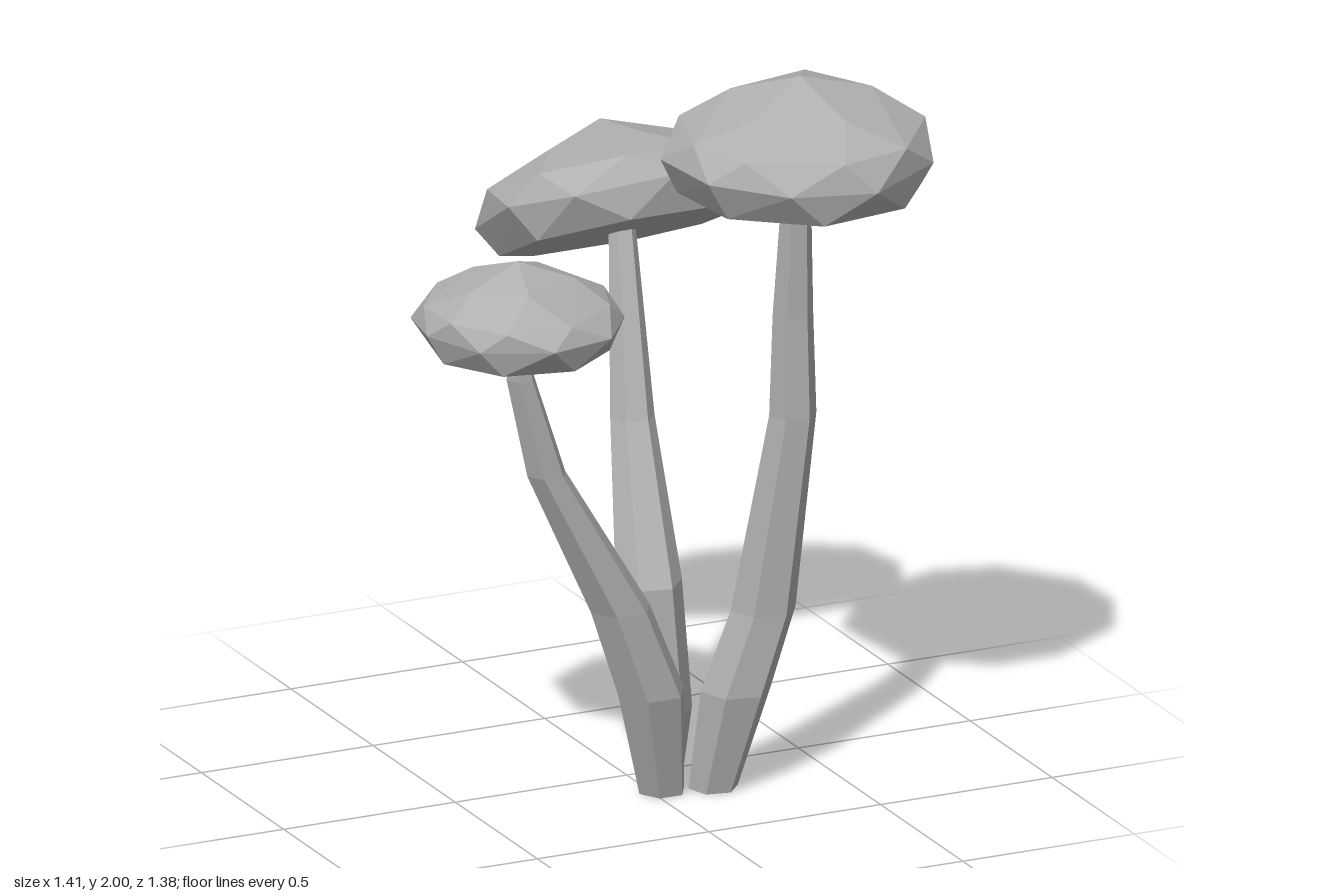
import * as THREE from 'three';
import { ConvexGeometry } from 'three/addons/geometries/ConvexGeometry.js';

const grey = new THREE.MeshStandardMaterial({ color: 0xb0b0b0 });
grey.name = 'stone grey';

// repeatable value between -1 and 1
const noise = (n) => {
  const s = Math.sin(n * 127.1 + 11.7) * 43758.5453;
  return (s - Math.floor(s)) * 2 - 1;
};

// cap rings from underside to crown: [corners, radius, height, turn]
// heights are shares of the underside depth (below 0) or of the dome (above 0)
const capRings = [
  [8, 0.86, -1, 0.3],
  [9, 0.99, 0, 0],
  [9, 0.9, 0.35, 0.35],
  [5, 0.54, 0.71, 0.2],
];

// faceted cap with a flat underside; the origin is at its widest rim
function makeCap(radius, dome, under, seed) {
  const points = [new THREE.Vector3(0, dome, 0)];
  for (const [corners, r, h, turn] of capRings) {
    for (let k = 0; k < corners; k++) {
      const n = points.length + seed;
      const a = (k / corners) * Math.PI * 2 + turn + 0.08 * noise(n);
      const rr = radius * r * (1 + 0.03 * noise(n * 3));
      const y = h < 0 ? h * under : h * dome + 0.05 * dome * noise(n * 7);
      points.push(new THREE.Vector3(Math.cos(a) * rr, y, Math.sin(a) * rr));
    }
  }
  return new ConvexGeometry(points);
}

// six-sided stem lofted through level rings of [x, y, z, radius]
function makeStem(rings, turn) {
  const sides = 6, pos = [], idx = [];
  rings.forEach(([x, y, z, r]) => {
    for (let k = 0; k < sides; k++) {
      const a = (k / sides) * Math.PI * 2 + turn;
      pos.push(x + Math.cos(a) * r, y, z + Math.sin(a) * r);
    }
  });
  for (let j = 0; j < rings.length - 1; j++) {
    for (let k = 0; k < sides; k++) {
      const a = j * sides + k, b = j * sides + ((k + 1) % sides);
      idx.push(a, a + sides, b, b, a + sides, b + sides);
    }
  }
  // close both ends
  const last = (rings.length - 1) * sides;
  for (let k = 1; k < sides - 1; k++) {
    idx.push(0, k, k + 1, last, last + k + 1, last + k);
  }
  const geo = new THREE.BufferGeometry();
  geo.setAttribute('position', new THREE.Float32BufferAttribute(pos, 3));
  geo.setIndex(idx);
  // separate the faces so that each shades flat
  const flat = geo.toNonIndexed();
  flat.computeVertexNormals();
  return flat;
}

const mushrooms = [
  {
    name: 'tallMushroom',
    cap: { at: [0.345, 1.785, 0.335], radius: 0.37, dome: 0.215, under: 0.095, yaw: 0.05, tilt: 0, seed: 3 },
    turn: 0.2,
    stem: [[0.165, 0, 0.18, 0.067], [0.21, 0.28, 0.225, 0.095], [0.28, 0.5, 0.245, 0.088],
      [0.34, 1.05, 0.3, 0.064], [0.338, 1.33, 0.305, 0.055], [0.335, 1.72, 0.335, 0.038]],
  },
  {
    name: 'tiltedMushroom',
    cap: { at: [0.135, 1.475, -0.35], radius: 0.378, dome: 0.215, under: 0.09, yaw: -0.1, tilt: -0.46, seed: 17 },
    turn: 0.2,
    stem: [[0.085, 0, 0.06, 0.045], [0.06, 0.2, 0.07, 0.09], [0.04, 0.55, 0.05, 0.09],
      [0.088, 0.94, -0.15, 0.06], [0.14, 1.44, -0.325, 0.035]],
  },
  {
    name: 'smallMushroom',
    cap: { at: [-0.43, 1.4, 0.235], radius: 0.28, dome: 0.17, under: 0.07, yaw: -0.3, tilt: 0, seed: 29 },
    turn: 0,
    stem: [[0.03, 0, 0.15, 0.065], [-0.025, 0.3, 0.2, 0.095], [-0.12, 0.55, 0.21, 0.085],
      [-0.34, 0.96, 0.22, 0.055], [-0.42, 1.24, 0.23, 0.04], [-0.435, 1.36, 0.235, 0.027]],
  },
];

export function createModel() {
  const model = new THREE.Group();
  model.name = 'mushroomCluster';
  for (const { name, cap, stem, turn } of mushrooms) {
    const group = new THREE.Group();
    group.name = name;

    const stemMesh = new THREE.Mesh(makeStem(stem, turn), grey);
    stemMesh.name = 'stem';

    const capMesh = new THREE.Mesh(makeCap(cap.radius, cap.dome, cap.under, cap.seed), grey);
    capMesh.name = 'cap';
    capMesh.position.set(...cap.at);
    capMesh.rotation.set(cap.tilt, cap.yaw, 0);

    group.add(stemMesh, capMesh);
    model.add(group);
  }
  return model;
}
